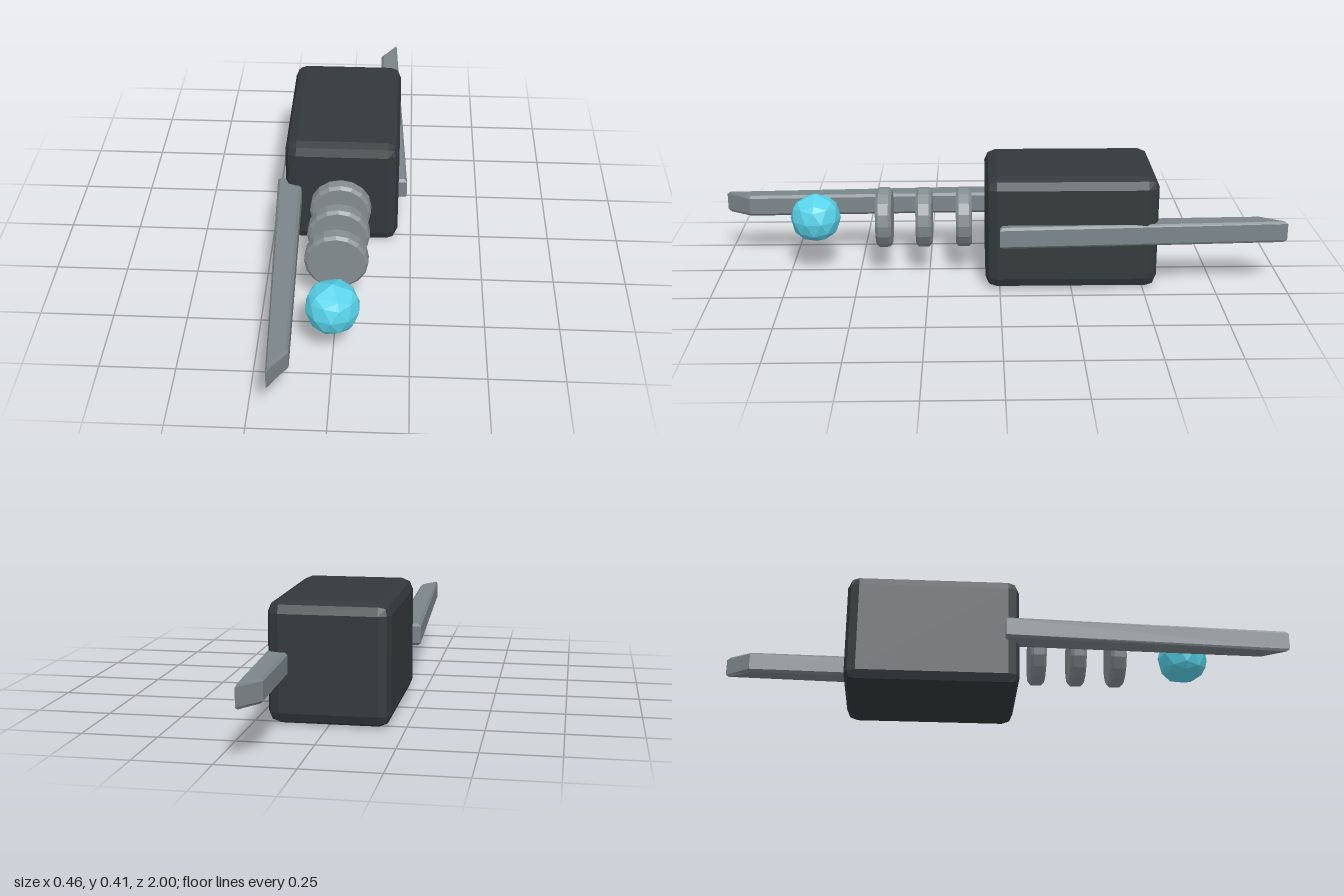
import * as THREE from 'three';
import { RoundedBoxGeometry } from 'three/addons/geometries/RoundedBoxGeometry.js';

const MID = 0.203; // height of the common axis

const material = (color) => new THREE.MeshStandardMaterial({ color, flatShading: true });

function addPart(parent, name, geometry, mat, x, y, z) {
  const mesh = new THREE.Mesh(geometry, mat);
  mesh.name = name;
  mesh.position.set(x, y, z);
  parent.add(mesh);
  return mesh;
}

// Tapered rail with a slanted tip, drawn in plan and extruded with chamfered edges
function railGeometry() {
  const outline = [[-0.231, 0], [-0.144, 0], [-0.119, 0.91], [-0.18, 1]];
  const shape = new THREE.Shape(outline.map(([x, z]) => new THREE.Vector2(x, z)));
  const bevel = 0.009, height = 0.077;
  const geometry = new THREE.ExtrudeGeometry(shape, {
    depth: height - 2 * bevel,
    bevelThickness: bevel,
    bevelSize: bevel,
    bevelOffset: -bevel,
    bevelSegments: 1,
  });
  geometry.translate(0, 0, bevel - height / 2);
  return geometry.rotateX(Math.PI / 2);
}

// Solid disc with chamfered rims, facing z
function discGeometry(radius, thickness, chamfer) {
  const h = thickness / 2;
  const profile = [
    [0, -h], [radius - chamfer, -h], [radius, chamfer - h],
    [radius, h - chamfer], [radius - chamfer, h], [0, h],
  ].map(([r, y]) => new THREE.Vector2(r, y));
  return new THREE.LatheGeometry(profile, 16).rotateX(Math.PI / 2);
}

// Faceted ball with a vertex at each pole, 80 faces
function ballGeometry(radius) {
  const vertices = [0, 1, 0];
  for (const [y, start] of [[1, 72], [-1, 108]]) {
    for (let i = 0; i < 5; i++) {
      const a = THREE.MathUtils.degToRad(start + 72 * i);
      vertices.push(2 * Math.cos(a), y, 2 * Math.sin(a));
    }
  }
  vertices.push(0, -1, 0);
  const faces = [];
  for (let i = 0; i < 5; i++) {
    const u = 1 + i, uNext = 1 + ((i + 1) % 5);
    const l = 6 + i, lNext = 6 + ((i + 1) % 5);
    faces.push(0, uNext, u, u, uNext, l, uNext, lNext, l, 11, l, lNext);
  }
  return new THREE.PolyhedronGeometry(vertices, faces, radius, 1);
}

export function createModel() {
  const group = new THREE.Group();
  group.name = 'model';
  const dark = material(0x33393b);
  const grey = material(0x7b858a);
  const ringGrey = material(0x858d91);
  const cyan = material(0x58d3ea);

  // Main housing
  addPart(group, 'housing', new RoundedBoxGeometry(0.402, 0.405, 0.6, 1, 0.04), dark, 0, MID, -0.25);

  // Two rails, one pointing forward and its half-turn pointing back
  const rail = railGeometry();
  addPart(group, 'frontRail', rail, grey, 0, MID, 0);
  addPart(group, 'backRail', rail, grey, 0, MID, 0).rotation.y = Math.PI;

  // Row of discs in front of the housing
  const disc = discGeometry(0.107, 0.056, 0.01);
  for (let i = 0; i < 3; i++) {
    addPart(group, `disc${i + 1}`, disc, ringGrey, 0, MID, 0.125 + 0.142 * i);
  }

  // Glowing ball at the front
  addPart(group, 'ball', ballGeometry(0.09), cyan, 0, MID, 0.655);

  return group;
}
